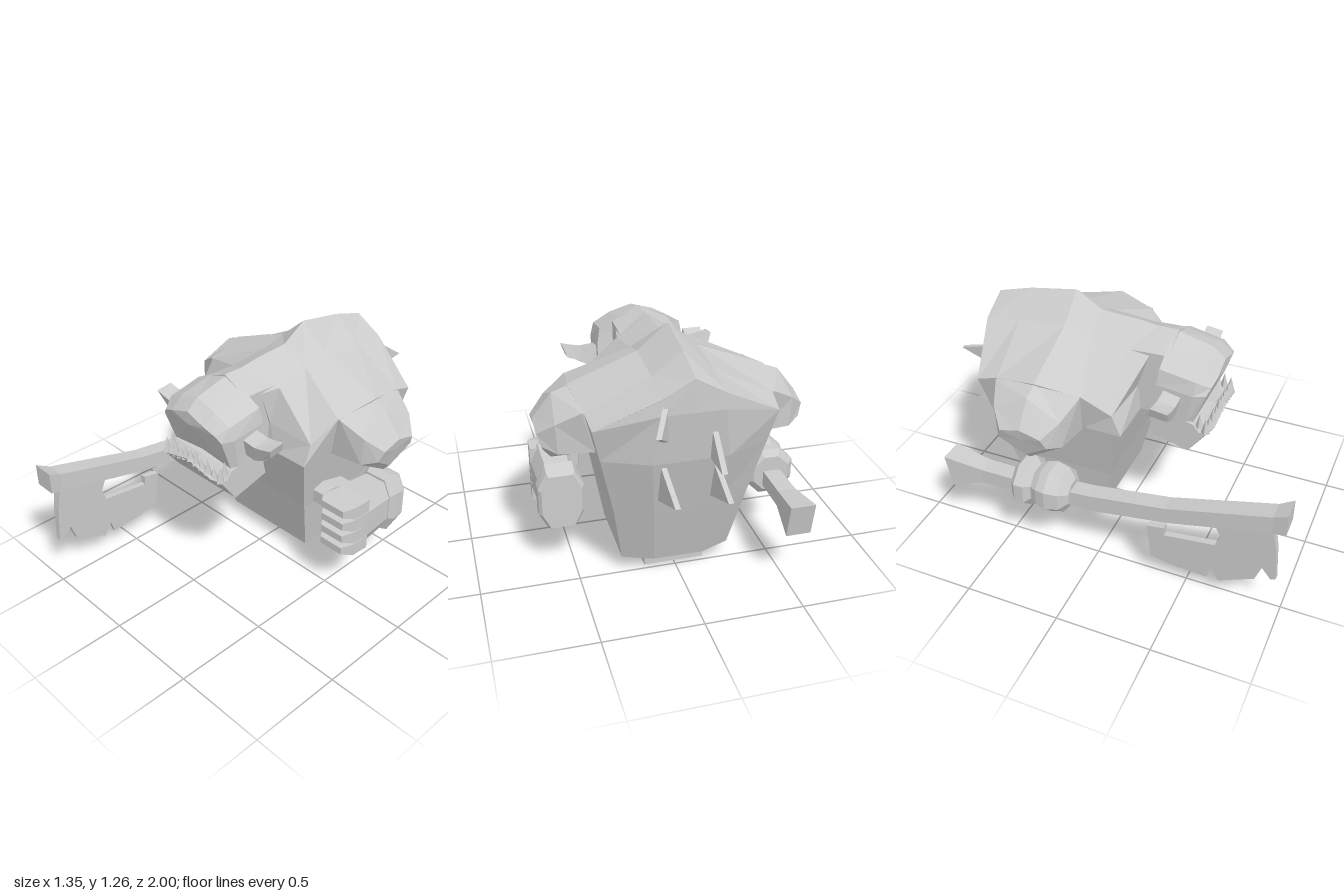
import * as THREE from 'three';

const material = new THREE.MeshStandardMaterial({ color: 0xcccccc, flatShading: true, side: THREE.DoubleSide });

// Skin a series of closed rings ([x, y, z] points), cap both ends, face outwards
function loft(name, rings) {
  const tris = [];
  const n = rings[0].length;
  const mean = r => [0, 1, 2].map(k => r.reduce((s, p) => s + p[k], 0) / n);
  for (let i = 0; i < rings.length - 1; i++) {
    for (let j = 0; j < n; j++) {
      const k = (j + 1) % n;
      const [a, b, c, d] = [rings[i][j], rings[i][k], rings[i + 1][k], rings[i + 1][j]];
      tris.push([a, b, c], [a, c, d]);
    }
  }
  const first = rings[0], last = rings[rings.length - 1];
  for (let j = 0; j < n; j++) {
    const k = (j + 1) % n;
    tris.push([mean(first), first[k], first[j]], [mean(last), last[j], last[k]]);
  }
  let volume = 0;
  const kept = tris.map(t => t.map(p => new THREE.Vector3(...p))).filter(([a, b, c]) => {
    const cross = b.clone().sub(a).cross(c.clone().sub(a));
    volume += a.dot(b.clone().cross(c));
    return cross.length() > 1e-7;
  });
  const points = kept.flatMap(([a, b, c]) => (volume < 0 ? [a, c, b] : [a, b, c]));
  const geometry = new THREE.BufferGeometry().setFromPoints(points);
  geometry.computeVertexNormals();
  return part(name, geometry);
}

function part(name, geometry) {
  const mesh = new THREE.Mesh(geometry, material);
  mesh.name = name;
  return mesh;
}

// Complete a half ring (x >= 0, starting and ending on x = 0) by mirroring
const mirrored = half => [...half, ...half.slice(1, -1).reverse().map(([x, y, z]) => [-x, y, z])];

// Eight-sided chamfered ring in the xy plane
const octagon = (cx, cy, z, w, h) =>
  [[1, .45], [.6, 1], [-.6, 1], [-1, .45], [-1, -.45], [-.6, -1], [.6, -1], [1, -.45]]
    .map(([x, y]) => [cx + x * w, cy + y * h, z]);

// Rectangle in the xy plane
const rect = (cx, hx, y0, y1, z) =>
  [[cx - hx, y0, z], [cx + hx, y0, z], [cx + hx, y1, z], [cx - hx, y1, z]];

function torso() {
  const level = (y, w, front, s, side, back) => mirrored([
    [0, y, front], [w / 2, y, front], [w, y, front], [w, y, s], [w, y, -.32],
    [w, y, -.2 + side / 2], [w, y, side], [w / 2.2, y, back], [0, y, back]]);
  const rim = mirrored([
    [0, .9, .08], [.16, .88, .08], [.41, .85, .05], [.46, .96, -.09], [.5, 1.0, -.32],
    [.46, .95, -.55], [.45, .91, -.67], [.15, 1.0, -.775], [0, 1.0, -.775]]);
  const slope = mirrored([
    [0, 1.15, .14], [.15, 1.07, .14], [.17, 1.07, .03], [.15, 1.1, -.18], [.15, 1.135, -.32],
    [.15, 1.11, -.58], [.15, 1.08, -.77], [.12, 1.09, -.77], [0, 1.16, -.77]]);
  const ridge = mirrored([
    [0, 1.155, .14], [0, 1.155, .14], [0, 1.17, .02], [0, 1.18, -.18], [0, 1.265, -.32],
    [0, 1.22, -.58], [0, 1.165, -.77], [0, 1.165, -.77], [0, 1.165, -.77]]);
  return loft('torso', [
    level(.085, .28, -.08, -.15, -.49, -.55), level(.41, .335, 0, -.1, -.575, -.645),
    level(.74, .41, .095, -.1, -.64, -.74), rim, slope, ridge]);
}

// Shoulder stump, s = 1 for the left side
function shoulder(s) {
  const ring = pts => pts.map(([x, y, z]) => [s * x, y, z]);
  return loft(s > 0 ? 'leftShoulder' : 'rightShoulder', [
    ring([[.3, 1.0, -.32], [.3, .93, -.11], [.3, .73, -.11], [.3, .62, -.32], [.3, .73, -.53], [.3, .93, -.53]]),
    ring([[.48, 1.0, -.32], [.47, .96, -.09], [.41, .73, -.11], [.41, .62, -.32], [.41, .73, -.53], [.47, .95, -.55]]),
    ring([[.575, .965, -.32], [.59, .88, -.14], [.58, .725, -.14], [.59, .62, -.32], [.58, .725, -.5], [.59, .88, -.5]]),
    ring([[.672, .84, -.32], [.67, .81, -.21], [.65, .75, -.19], [.625, .66, -.32], [.65, .75, -.45], [.67, .81, -.43]])]);
}

function head() {
  const group = new THREE.Group();
  group.name = 'head';
  const neck = (z, y, w) => mirrored([[0, y, z], [w, y - .07, z], [w, .74, z], [0, .72, z]]);
  group.add(loft('neck', [neck(.02, 1.15, .15), neck(.14, 1.157, .15), neck(.24, 1.16, .15)]));

  group.add(loft('cranium', [
    mirrored([[0, 1.155, .22], [.12, 1.11, .22], [.22, 1.055, .22], [.235, .97, .21], [.235, .74, .18], [0, .74, .18]]),
    mirrored([[0, 1.105, .42], [.12, 1.07, .42], [.215, 1.02, .41], [.235, .95, .40], [.23, .79, .37], [0, .80, .38]]),
    mirrored([[0, 1.05, .485], [.12, 1.01, .485], [.18, .985, .475], [.21, .95, .46], [.205, .78, .40], [0, .80, .40]]),
    mirrored(Array(6).fill([0, .98, .485]))]));

  // Jutting lower jaw, its lip raised in the middle
  const jaw = (x, lip, front) => [[x, .65, .17], [x, .6, .38], [x, lip, front], [x, lip - .015, .44], [x, .77, .40], [x, .8, .2]];
  group.add(loft('jaw', [jaw(-.215, .735, .475), jaw(-.17, .745, .5), jaw(0, .79, .505), jaw(.17, .745, .5), jaw(.215, .735, .475)]));

  const teeth = new THREE.Group();
  teeth.name = 'teeth';
  for (let i = -5; i <= 5; i++) {
    const x = i * .04;
    const height = i % 2 ? .085 : .065;
    const tooth = part('tooth', new THREE.ConeGeometry(.025, height, 4));
    tooth.position.set(x, .77 - .22 * Math.abs(x) + height / 2, .48 - .4 * x * x);
    teeth.add(tooth);
  }
  for (const s of [-1, 1]) {
    const tooth = part('sideTooth', new THREE.ConeGeometry(.022, .08, 4));
    tooth.position.set(s * .195, .79, .43);
    teeth.add(tooth);
    const q = (x, a, b, c, d) => [[s * x, a, .34], [s * x, b, .25], [s * (x - .02), c, .235], [s * (x - .02), d, .32]];
    group.add(loft(s > 0 ? 'leftEar' : 'rightEar', [
      q(.22, .93, .95, .86, .84), q(.31, .92, .94, .85, .83), q(.36, .93, .945, .88, .85), q(.415, .945, .957, .9, .89)]));
  }
  group.add(teeth);
  return group;
}

function fist() {
  const group = new THREE.Group();
  group.name = 'leftFist';
  const o = (z, w, h) => octagon(.56, .415, z, w, h);
  group.add(loft('palm', [o(-.32, .09, .14), o(-.29, .1, .145), o(-.1, .11, .165), o(-.05, .1, .15)]));
  group.add(loft('cuff', [o(-.42, .1, .145), o(-.40, .115, .155), o(-.34, .115, .178), o(-.30, .1, .155)]));
  // Four curled fingers stacked vertically
  for (let i = 0; i < 4; i++) {
    const y = .53 - i * .077;
    group.add(loft('finger', [
      rect(.56, .11, y - .037, y + .037, -.12), rect(.56, .105, y - .036, y + .036, -.02), rect(.56, .07, y - .02, y + .02, .037)]));
  }
  group.add(loft('thumb', [
    rect(.47, .04, .47, .57, -.17), rect(.445, .04, .48, .58, -.06), rect(.435, .03, .49, .56, .01)]));
  return group;
}

function axe() {
  const group = new THREE.Group();
  group.name = 'axe';
  const x = -.54;
  const butt = rect(-.538, .064, .28, .46, -.82).map(([a, b, c]) => [a, b, b > .4 ? -.835 : -.8]);
  group.add(loft('handle', [
    rect(x, .06, .58, .697, 1), rect(x, .05, .56, .66, .93), rect(x, .046, .43, .52, .4),
    rect(x, .045, .365, .46, 0), rect(x, .045, .35, .43, -.35), rect(x, .047, .345, .43, -.62), butt]));

  // Notched blade, thinning towards its lower cutting edge
  const outline = [[.93, .58], [.64, .51], [.68, .417], [.656, .35], [.39, .315], [.39, .364], [.297, .348],
    [.32, .14], [.436, .118], [.62, .107], [.64, .176], [.683, .107], [.865, .198], [.897, .289],
    [.945, .225], [.97, .24], [.956, .43]].map(p => new THREE.Vector2(...p));
  const blade = new THREE.ExtrudeGeometry(new THREE.Shape(outline), { depth: 1, bevelEnabled: false });
  const p = blade.attributes.position;
  for (let i = 0; i < p.count; i++) {
    const thickness = THREE.MathUtils.mapLinear(p.getY(i), .1, .5, .018, .046);
    p.setXYZ(i, x - (p.getZ(i) - .5) * thickness, p.getY(i), p.getX(i));
  }
  blade.computeVertexNormals();
  group.add(part('blade', blade));

  // Hand wrapped around the handle, with its wrist cuff
  const profile = [[0, -.42], [.1, -.42], [.135, -.39], [.135, -.34], [.1, -.31], [.125, -.27], [.137, -.22], [.12, -.15], [.07, -.11], [0, -.11]];
  const hand = part('rightHand', new THREE.LatheGeometry(profile.map(q => new THREE.Vector2(...q)), 8, Math.PI / 8));
  hand.rotation.x = Math.PI / 2;
  hand.position.set(-.537, .415, 0);
  group.add(hand);
  return group;
}

// Flat spike on the back: base height range, base x and leaning tip
function spike(x, top, bottom, tip) {
  const plate = d => [[x + d, ...top], [tip[0] + d, tip[1], tip[2]], [x + d, ...bottom]];
  return loft('backSpike', [plate(-.013), plate(.013)]);
}

export function createModel() {
  const model = new THREE.Group();
  model.name = 'bust';
  const base = part('base', new THREE.BoxGeometry(.314, .1, .31));
  base.position.set(0, .05, -.315);
  model.add(base, torso(), shoulder(1), shoulder(-1), head(), fist(), axe());
  model.add(
    spike(.12, [1.06, -.74], [.85, -.74], [.2, .95, -.89]),
    spike(-.11, [.9, -.72], [.73, -.7], [-.07, .8, -1]),
    spike(.135, [.74, -.7], [.48, -.6], [.11, .59, -.9]),
    spike(-.125, [.72, -.69], [.47, -.6], [-.155, .56, -.87]));
  return model;
}
